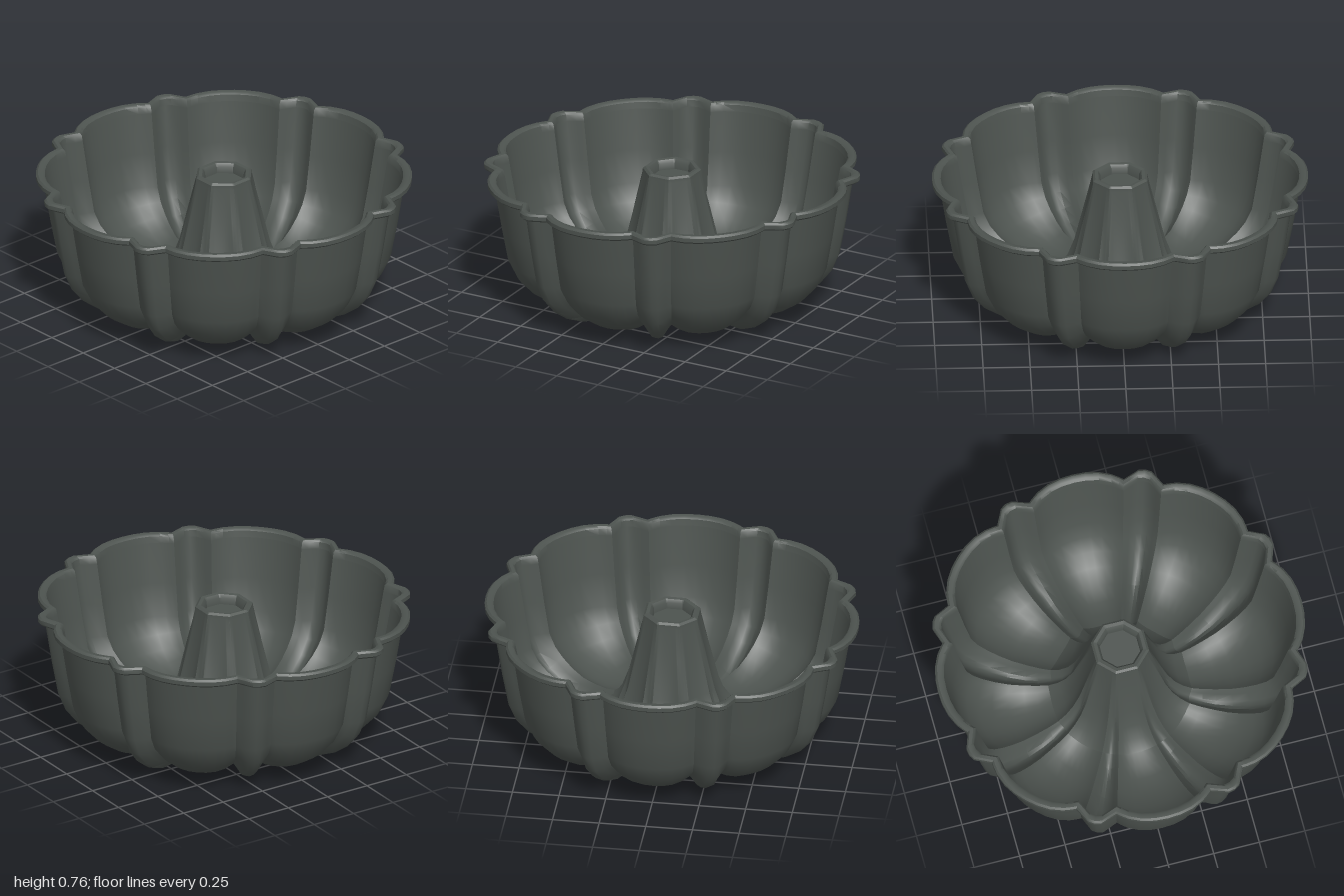
import * as THREE from 'three';
import { toCreasedNormals } from 'three/addons/utils/BufferGeometryUtils.js';

const LOBES = 8;
const SECTOR = 360 / LOBES;
// Half-sector of the fluting: [degrees from lobe centre, height, share of ridge]
const HALF = [[0, 0, 0], [4, -0.002, 0], [8, -0.01, 0], [12, -0.028, 0], [14.5, -0.046, 0],
  [16, -0.058, 0], [18, -0.034, 0.4], [20.5, 0, 0.9], [22.5, 0.006, 1]];

// Full ring of fluting samples, mirrored about each lobe centre
function flutes() {
  const ring = [];
  for (let k = 0; k < LOBES; k++) {
    const left = HALF.slice(1, -1).reverse().map(([a, h, t]) => [-a, h, t]);
    for (const [a, h, t] of [...left, ...HALF])
      ring.push({ angle: THREE.MathUtils.degToRad(k * SECTOR + a), off: THREE.MathUtils.degToRad(a), h, t });
  }
  return ring;
}

// Sweeps a profile of [radius, y, push r, push y, extra ridge depth] round the fluted ring
function flutedShell(profile) {
  const ring = flutes(), n = ring.length, pos = [], index = [];
  profile.forEach(([r, y, pr, py, ridge = 0]) => {
    for (const { angle, off, h, t } of ring) {
      const d = h + t * ridge;
      let radius = r + pr * d;
      // The upper chimney is eight-sided
      if (r < 0.24) radius *= 0.96 / Math.cos(off);
      const x = radius * Math.sin(angle), height = y + py * d;
      pos.push(x, height + 0.017 * x * height, radius * Math.cos(angle));
    }
  });
  for (let j = 0; j < profile.length - 1; j++)
    for (let i = 0; i < n; i++) {
      const a = j * n + i, b = j * n + (i + 1) % n;
      index.push(a, b, a + n, b + n, a + n, b);
    }
  const g = new THREE.BufferGeometry();
  g.setAttribute('position', new THREE.Float32BufferAttribute(pos, 3));
  g.setIndex(index);
  return toCreasedNormals(g, THREE.MathUtils.degToRad(40));
}

export function createModel() {
  const group = new THREE.Group();
  group.name = 'flutedRingCakePan';
  const metal = new THREE.MeshStandardMaterial({ color: 0x4d534f, side: THREE.DoubleSide });
  metal.name = 'dark grey metal';

  const parts = {
    // Underside of the chimney, from its cap down to the base
    chimneyUnderside: [
      [0.001, 0.67, 0, 0], [0.1, 0.67, 0, 0], [0.14, 0.54, -0.1, 0], [0.19, 0.32, -0.25, 0],
      [0.235, 0.2, -0.4, -0.1], [0.29, 0.1, -0.4, -0.4], [0.36, 0.05, -0.2, -0.6]],
    // Outside of the bowl, base to rim
    outerWall: [
      [0.36, 0.05, -0.2, -0.6], [0.43, 0.03, 0, -0.8, 0.012], [0.51, 0.025, 0, -0.9, 0.02],
      [0.6, 0.035, 0.2, -0.9, 0.02], [0.7, 0.073, 0.5, -0.8, 0.015], [0.78, 0.125, 0.7, -0.7, 0.01],
      [0.845, 0.195, 0.9, -0.4, 0.005], [0.89, 0.29, 1, 0], [0.925, 0.48, 1, 0], [0.96, 0.7, 1, 0]],
    // Rolled lip
    rim: [
      [0.955, 0.7, 1, 0], [0.988, 0.703, 1, 0], [0.999, 0.713, 1, 0], [0.999, 0.735, 1, 0],
      [0.988, 0.745, 1, 0], [0.965, 0.745, 1, 0], [0.952, 0.735, 1, 0], [0.945, 0.7, 1, 0]],
    // Inside of the bowl, rim to floor
    innerWall: [
      [0.945, 0.7, 1, 0], [0.908, 0.48, 1, 0], [0.873, 0.3, 1, 0], [0.828, 0.208, 0.9, -0.4, 0.005],
      [0.765, 0.142, 0.7, -0.7, 0.01], [0.69, 0.094, 0.5, -0.8, 0.015], [0.6, 0.057, 0.2, -0.9, 0.02],
      [0.51, 0.047, 0, -0.9, 0.02], [0.44, 0.052, 0, -0.8, 0.012], [0.37, 0.075, -0.2, -0.6]],
    // Tapered chimney with a rounded top edge and recessed cap
    chimney: [
      [0.37, 0.075, -0.2, -0.6], [0.31, 0.125, -0.4, -0.4], [0.265, 0.21, -0.4, -0.1],
      [0.235, 0.32, -0.25, 0], [0.19, 0.54, -0.1, 0], [0.152, 0.715, 0, 0], [0.15, 0.735, 0, 0],
      [0.138, 0.745, 0, 0], [0.12, 0.742, 0, 0], [0.108, 0.725, 0, 0], [0.105, 0.69, 0, 0],
      [0.001, 0.69, 0, 0]],
  };
  for (const [name, profile] of Object.entries(parts)) {
    const mesh = new THREE.Mesh(flutedShell(profile), metal);
    mesh.name = name;
    group.add(mesh);
  }
  return group;
}
